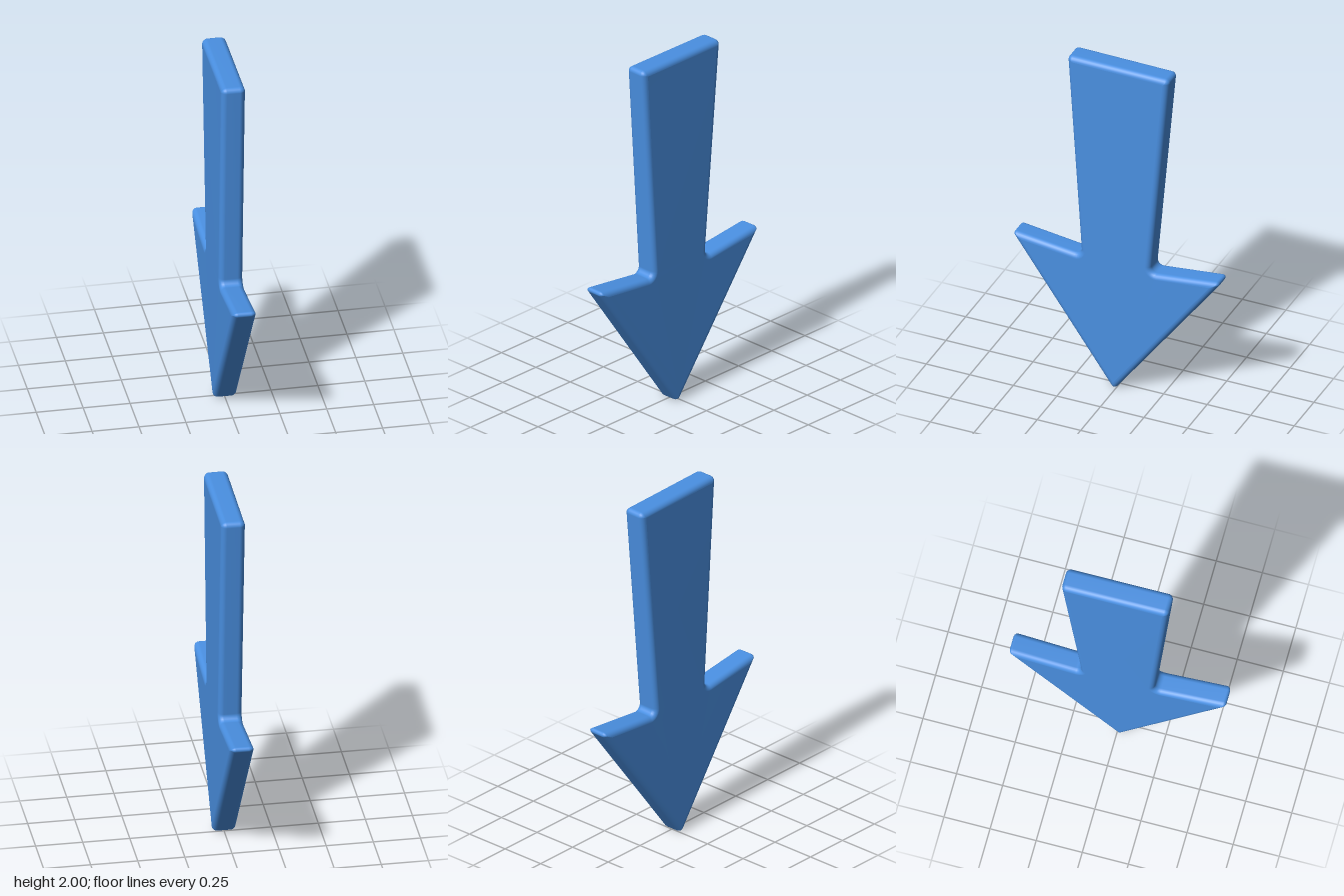
import * as THREE from 'three';

const HALF = 0.064;   // half thickness along x
const ROUND = 0.03;   // rounding of the edges between faces and rim

// Arrow corners in order round the outline: z, y, fillet radius
const CORNERS = [
  [0.013, -0.014, 0.02],   // tip
  [0.605, 0.827, 0.015],   // front barb
  [0.199, 0.776, 0.03],    // front notch
  [0.279, 2.0, 0.025],     // shaft end, front
  [-0.305, 1.993, 0.025],  // shaft end, back
  [-0.195, 0.766, 0.03],   // back notch
  [-0.605, 0.81, 0.015],   // back barb
];

// Outline moved inwards by d, every corner filleted with the same point count
function outline(d, steps = 6) {
  const pts = CORNERS.map(([z, y]) => new THREE.Vector2(z, y));
  const n = pts.length;
  const inward = (a, b) => new THREE.Vector2(a.y - b.y, b.x - a.x).normalize();
  const ring = [];
  pts.forEach((p, i) => {
    const n1 = inward(pts[(i + n - 1) % n], p);
    const n2 = inward(p, pts[(i + 1) % n]);
    const turn = Math.atan2(n1.cross(n2), n1.dot(n2));
    const s = Math.sign(turn);
    const radius = Math.max(CORNERS[i][2] - s * d, 0.002);
    const mitre = n1.clone().add(n2).divideScalar(1 + n1.dot(n2));
    const centre = p.clone().addScaledVector(mitre, d + s * radius);
    for (let k = 0; k <= steps; k++) {
      const dir = n1.clone().rotateAround(new THREE.Vector2(), turn * k / steps);
      ring.push(centre.clone().addScaledVector(dir, -s * radius));
    }
  });
  return ring;
}

// Stack of outlines from the left face, over the rim, to the right face
function arrowGeometry(arcSteps = 6) {
  const sections = [];
  for (let i = 0; i <= arcSteps; i++) {
    const a = (i / arcSteps) * Math.PI / 2;
    sections.push([HALF - ROUND + ROUND * Math.cos(a), ROUND * (1 - Math.sin(a))]);
  }
  sections.push(...sections.map(([x, d]) => [-x, d]).reverse());

  const positions = [], index = [];
  const face = outline(ROUND);
  const n = face.length;
  sections.forEach(([x, d], k) => {
    outline(d).forEach((p) => positions.push(x, p.y, p.x));
    if (k === 0) return;
    for (let j = 0; j < n; j++) {
      const a = (k - 1) * n + j, b = (k - 1) * n + (j + 1) % n;
      index.push(a, b, b + n, a, b + n, a + n);
    }
  });

  // Flat faces
  const last = (sections.length - 1) * n;
  for (const [a, b, c] of THREE.ShapeUtils.triangulateShape(face, [])) {
    index.push(c, b, a, last + a, last + b, last + c);
  }

  const geometry = new THREE.BufferGeometry();
  geometry.setAttribute('position', new THREE.Float32BufferAttribute(positions, 3));
  geometry.setIndex(index);
  geometry.computeVertexNormals();
  return geometry;
}

export function createModel() {
  const group = new THREE.Group();
  group.name = 'downArrow';
  const arrow = new THREE.Mesh(
    arrowGeometry(),
    new THREE.MeshStandardMaterial({ color: 0x4a90e2 }),
  );
  arrow.name = 'arrow';
  group.add(arrow);
  return group;
}
